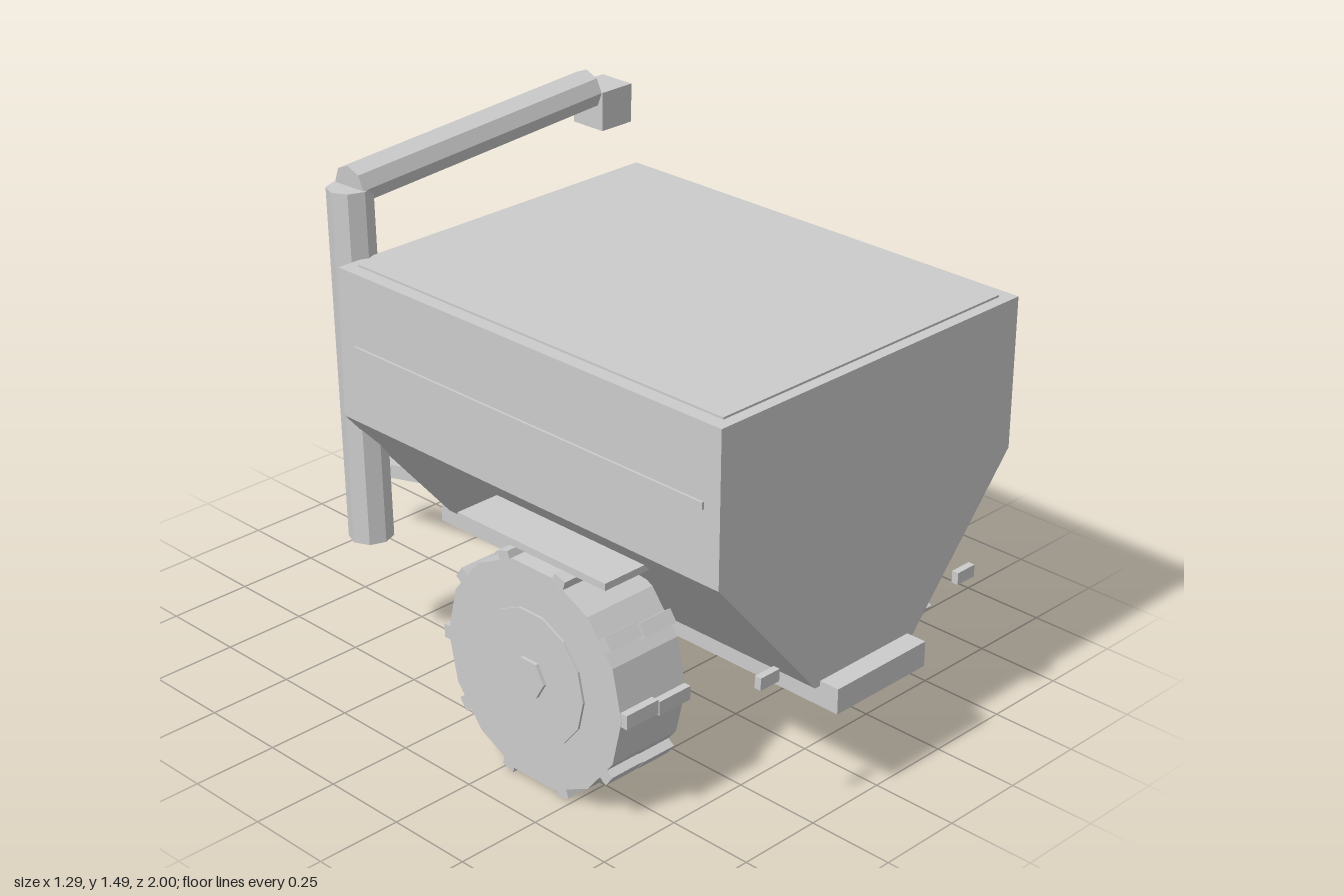
import * as THREE from 'three';

const mat = new THREE.MeshStandardMaterial({ color: 0xcccccc, flatShading: true });

function add(parent, name, geo, x = 0, y = 0, z = 0) {
  const m = new THREE.Mesh(geo, mat);
  m.name = name;
  m.position.set(x, y, z);
  parent.add(m);
  return m;
}

const box = (w, h, d) => new THREE.BoxGeometry(w, h, d);

// cylinder lying along x
const axle = (r, len, sides) => new THREE.CylinderGeometry(r, r, len, sides).rotateZ(Math.PI / 2);

// straight member between two points
function span(parent, name, geo, a, b) {
  const m = add(parent, name, geo);
  m.position.copy(a).add(b).multiplyScalar(0.5);
  m.quaternion.setFromUnitVectors(new THREE.Vector3(0, 1, 0), b.clone().sub(a).normalize());
  return m;
}

function makeWheel(side) {
  const wheel = new THREE.Group();
  wheel.name = side > 0 ? 'leftWheel' : 'rightWheel';
  add(wheel, 'tire', axle(0.32, 0.23, 14));
  add(wheel, 'rim', axle(0.19, 0.244, 14));
  add(wheel, 'hub', axle(0.057, 0.264, 6));
  // staggered tread lugs, two half-width rows
  for (let i = 0; i < 10; i++) {
    for (const row of [-1, 1]) {
      const a = (i / 10) * Math.PI * 2 + row * 0.012;
      const lug = add(wheel, 'treadLug', box(0.112, 0.035, 0.04),
        row * side * 0.058, Math.sin(a) * 0.32, Math.cos(a) * 0.32);
      lug.rotation.x = Math.PI / 2 - a;
    }
  }
  wheel.position.set(side * 0.515, 0.332, 0.37);
  return wheel;
}

export function createModel() {
  const model = new THREE.Group();
  model.name = 'grainCart';

  // hopper with sloping lower sides
  const section = new THREE.Shape([
    [-0.19, 0.35], [0.19, 0.35], [0.555, 0.77], [0.555, 1.2], [-0.555, 1.2], [-0.555, 0.77],
  ].map(([x, y]) => new THREE.Vector2(x, y)));
  const hopper = new THREE.ExtrudeGeometry(section, { depth: 1.375, bevelEnabled: false });
  add(model, 'hopper', hopper, 0, 0, -0.435);
  add(model, 'cover', box(1.03, 0.02, 1.31), 0, 1.196, 0.2525);

  // chassis and drawbar
  add(model, 'chassis', box(0.342, 0.073, 1.49), 0, 0.328, 0.255);
  span(model, 'drawbar', box(0.05, 0.54, 0.042),
    new THREE.Vector3(0, 0.352, -0.452), new THREE.Vector3(0, 0.234, -0.98));
  add(model, 'hitch', box(0.05, 0.035, 0.03), 0, 0.23, -0.985);

  // mirrored running gear and trim
  for (const side of [-1, 1]) {
    model.add(makeWheel(side));
    add(model, 'fender', box(0.235, 0.02, 0.535), side * 0.518, 0.695, 0.37);
    add(model, 'sideRail', box(0.02, 0.02, 1.265), side * 0.552, 0.982, 0.255);
    add(model, 'lamp', box(0.068, 0.035, 0.02), side * 0.382, 0.463, 0.948);
  }

  // unloading auger
  const foot = new THREE.Vector3(-0.458, 0.362, -0.46);
  const elbow = new THREE.Vector3(-0.458, 1.383, -0.495);
  const armStart = new THREE.Vector3(-0.458, 1.385, -0.495);
  const armEnd = new THREE.Vector3(0.418, 1.441, -0.495);
  const tube = (r, a, b) =>
    new THREE.CylinderGeometry(r, r, a.distanceTo(b), 8);
  span(model, 'augerUpright', tube(0.063, foot, elbow), foot, elbow);
  span(model, 'augerArm', tube(0.057, armStart, armEnd), armStart, armEnd);
  add(model, 'augerSpout', box(0.115, 0.113, 0.115), 0.477, 1.385, -0.494);

  return model;
}
